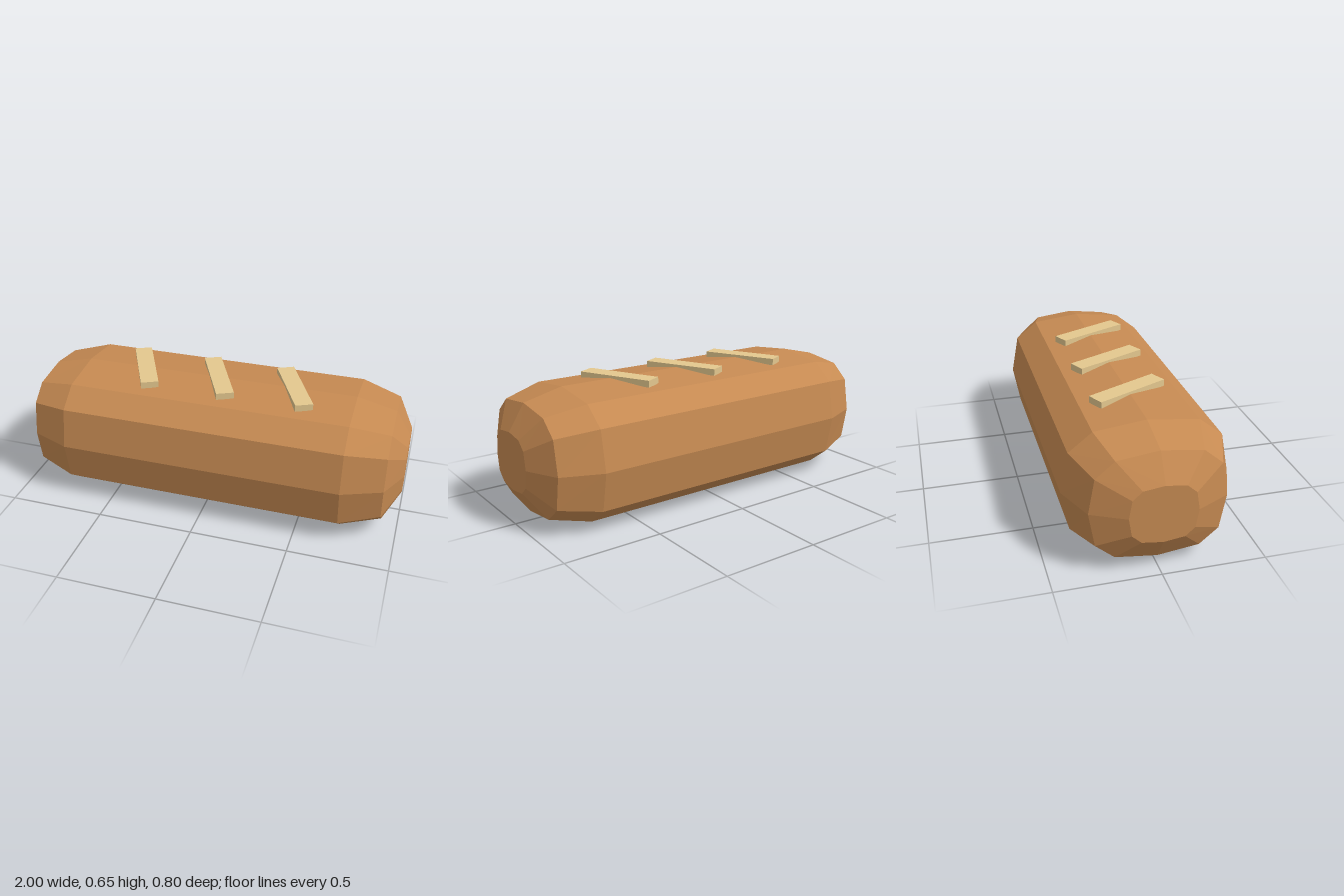
import * as THREE from 'three';

const crust = new THREE.MeshStandardMaterial({ color: 0xc68a52, flatShading: true });
crust.name = 'crust brown';
const cream = new THREE.MeshStandardMaterial({ color: 0xe3c78e, flatShading: true });
cream.name = 'pale score';

const SIDES = 12;
const MID = 0.32;

// Loaf: rounded-square rings along x, shrinking to flat ends
function loafGeometry() {
  // x, half depth, half height
  const rings = [
    [-1, 0.16, 0.144], [-0.92, 0.32, 0.272], [-0.72, 0.4, 0.32],
    [0.72, 0.4, 0.32], [0.92, 0.32, 0.272], [1, 0.16, 0.144],
  ];
  const soften = (v) => (Math.abs(v) < 1e-6 ? 0 : Math.sign(v) * Math.abs(v) ** 0.68);
  const pos = [];
  const index = [];
  for (const [x, depth, height] of rings) {
    for (let j = 0; j < SIDES; j++) {
      const a = (j / SIDES) * Math.PI * 2;
      pos.push(x, MID + soften(Math.cos(a)) * height, soften(Math.sin(a)) * depth);
    }
  }
  const last = rings.length - 1;
  const endA = pos.length / 3;
  const endB = endA + 1;
  pos.push(-1, MID, 0, 1, MID, 0);
  for (let j = 0; j < SIDES; j++) {
    const k = (j + 1) % SIDES;
    for (let i = 0; i < last; i++) {
      const a = i * SIDES + j, b = a + SIDES;
      const d = i * SIDES + k, c = d + SIDES;
      index.push(a, d, b, b, d, c);
    }
    index.push(endA, k, j, endB, last * SIDES + j, last * SIDES + k);
  }
  const geo = new THREE.BufferGeometry();
  geo.setAttribute('position', new THREE.Float32BufferAttribute(pos, 3));
  geo.setIndex(index);
  const flat = geo.toNonIndexed();
  flat.computeVertexNormals();
  return flat;
}

export function createModel() {
  const group = new THREE.Group();
  group.name = 'breadLoaf';

  const loaf = new THREE.Mesh(loafGeometry(), crust);
  loaf.name = 'loaf';
  group.add(loaf);

  // Slanted score marks across the top
  const scoreGeo = new THREE.BoxGeometry(0.09, 0.034, 0.4);
  [-0.4, 0, 0.4].forEach((x, i) => {
    const score = new THREE.Mesh(scoreGeo, cream);
    score.name = `scoreMark${i + 1}`;
    score.position.set(x, 0.636, 0);
    score.rotation.y = 0.45;
    group.add(score);
  });

  return group;
}
